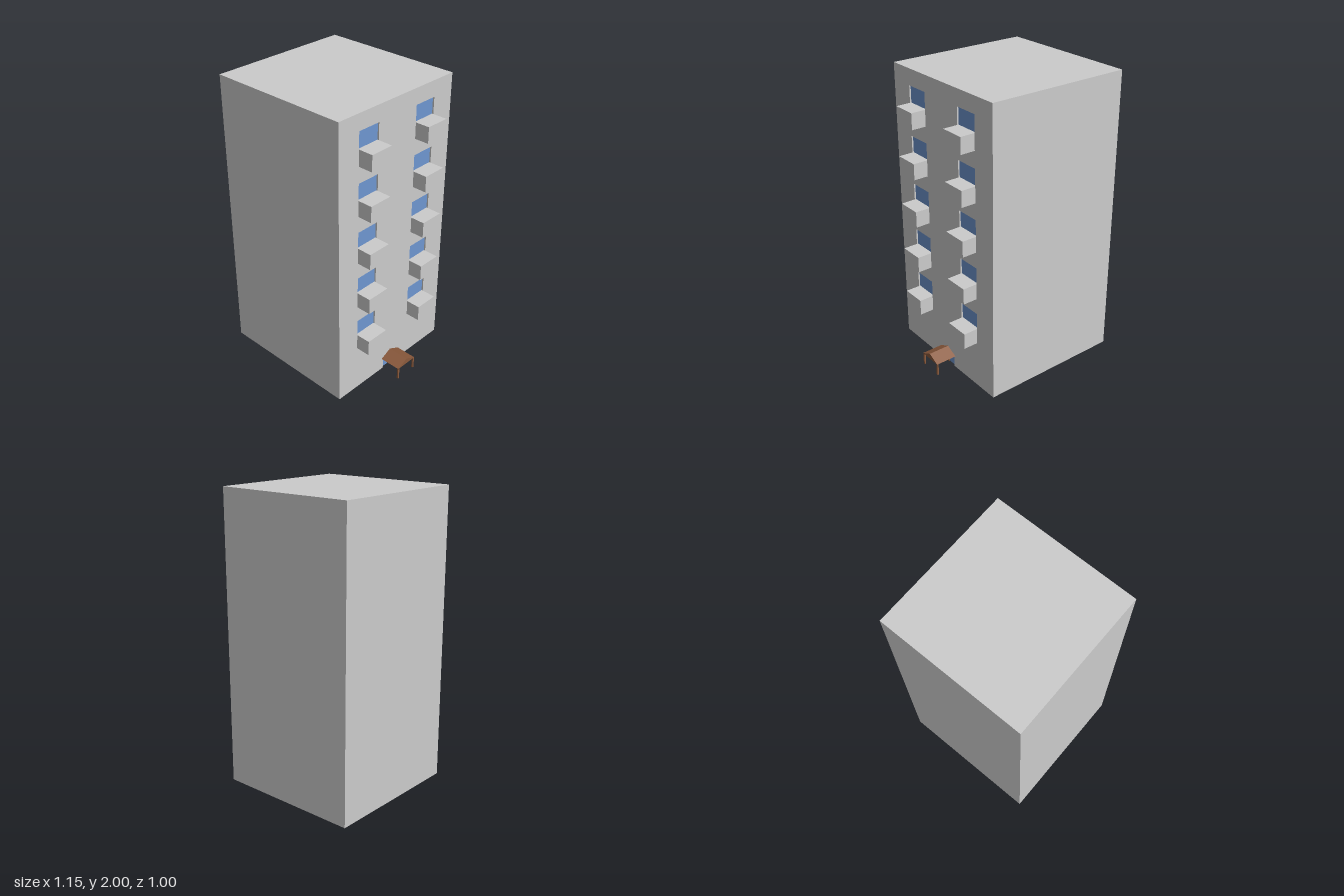
import * as THREE from 'three';

export function createModel() {
  const model = new THREE.Group();
  const grey = new THREE.MeshStandardMaterial({ color: 0xcccccc });
  const blue = new THREE.MeshStandardMaterial({ color: 0x6e96d0 });
  const brown = new THREE.MeshStandardMaterial({ color: 0x8b5a3c });

  const WALL = 0.425;   // outer face of the balcony wall
  const RECESS = 0.012; // depth of the window and door openings
  const FLOORS = 5, STOREY = 1 / 3, OPEN_W = 1 / 6, OPEN_H = 0.222;

  // Box given by its lowest and highest corners
  function box(name, mat, [x0, y0, z0], [x1, y1, z1], parent = model) {
    const mesh = new THREE.Mesh(new THREE.BoxGeometry(x1 - x0, y1 - y0, z1 - z0), mat);
    mesh.position.set((x0 + x1) / 2, (y0 + y1) / 2, (z0 + z1) / 2);
    mesh.name = name;
    parent.add(mesh);
  }

  // Extrude a shape drawn as (-z, y) along +x, starting at x
  function extrudeX(name, mat, shape, x, depth, parent = model) {
    const geo = new THREE.ExtrudeGeometry(shape, { depth, bevelEnabled: false });
    geo.rotateY(Math.PI / 2);
    const mesh = new THREE.Mesh(geo, mat);
    mesh.position.x = x;
    mesh.name = name;
    parent.add(mesh);
  }
  const outline = (pts, Type = THREE.Shape) => new Type(pts.map(p => new THREE.Vector2(...p)));

  // Tower body
  const inner = WALL - RECESS;
  box('tower', grey, [-0.575, 0, -0.5], [inner, 2, 0.5]);

  // Balcony wall, with a notch for the door and holes for the windows
  const doorW = 0.07, doorH = 0.083;
  const wall = outline([
    [-0.5, 0], [-doorW, 0], [-doorW, doorH], [doorW, doorH], [doorW, 0],
    [0.5, 0], [0.5, 2], [-0.5, 2],
  ]);

  // Windows and balconies, two per storey
  for (let i = 0; i < FLOORS; i++) {
    for (const z of [-0.25, 0.25]) {
      const y = 0.335 + i * STOREY, a = z - OPEN_W / 2, b = z + OPEN_W / 2;
      wall.holes.push(outline(
        [[-a, y], [-b, y], [-b, y + OPEN_H], [-a, y + OPEN_H]], THREE.Path));
      box('window', blue, [inner, y, a], [inner + 0.002, y + OPEN_H, b]);
      box('balcony', grey, [inner + 0.002, y, a], [WALL + 0.1, y + 0.109, b]);
    }
  }
  extrudeX('balconyWall', grey, wall, inner, RECESS);

  // Double door with a central bar
  const entrance = new THREE.Group();
  entrance.name = 'entrance';
  model.add(entrance);
  box('doorGlass', blue, [inner, 0, -doorW], [inner + 0.002, doorH, doorW], entrance);
  box('doorBar', brown, [inner + 0.002, 0, -0.004], [WALL, doorH, 0.004], entrance);

  // Gabled porch roof on two posts
  const roof = outline([[-0.084, 0.086], [0.084, 0.086], [0, 0.127]]);
  extrudeX('porchRoof', brown, roof, WALL, 0.15, entrance);
  for (const z of [-0.077, 0.077]) {
    box('porchPost', brown, [0.563, 0, z - 0.006], [0.574, 0.088, z + 0.006], entrance);
  }
  return model;
}
